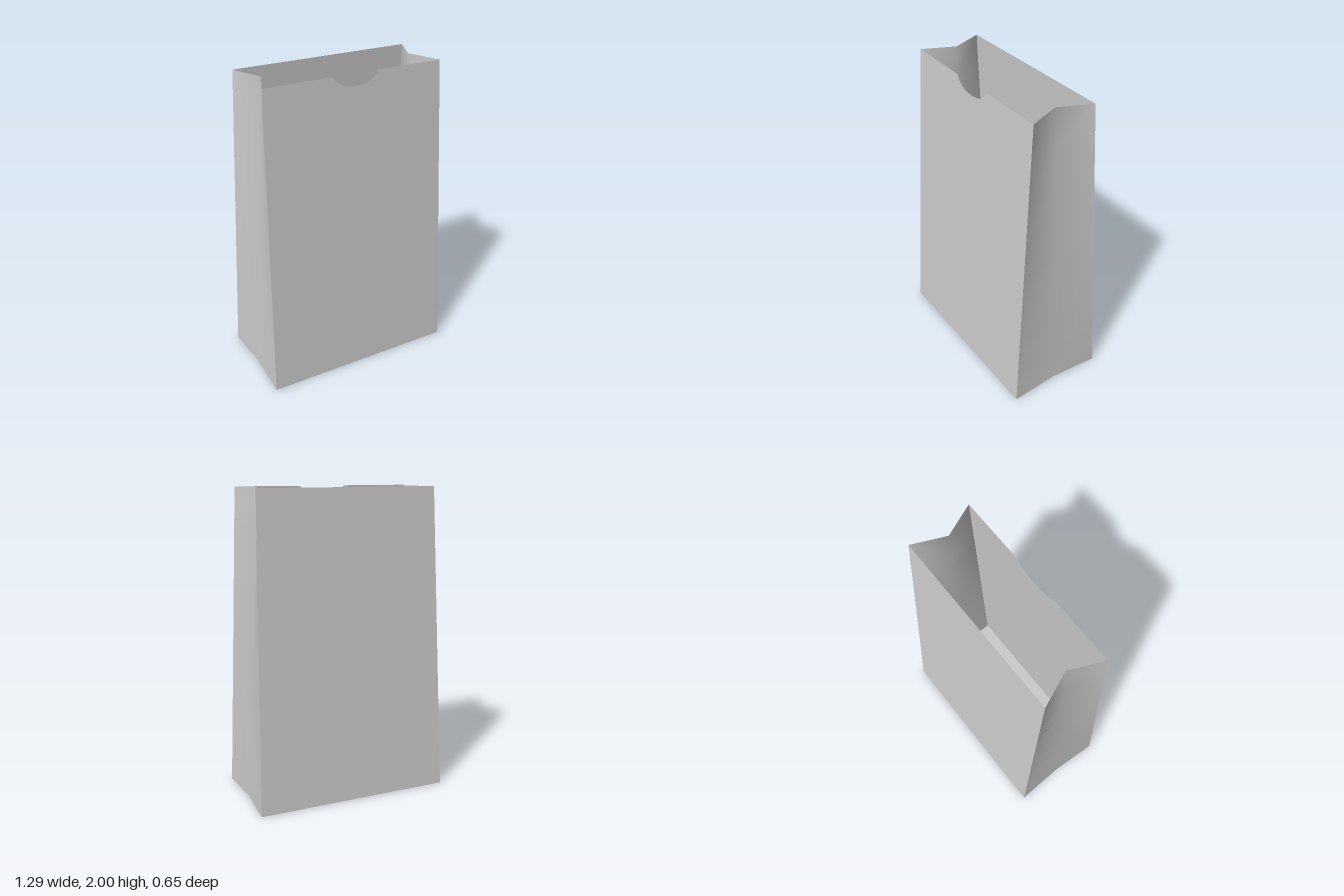
import * as THREE from 'three';

const H = 2;
const BOTTOM = { x: 0.645, z: 0.325, fold: 0.63 };
const TOP = { x: 0.598, z: 0.21, fold: 0.507 };
const FOLD_LIFT = 0.01; // the fold sits just above the ground

const paper = new THREE.MeshStandardMaterial({ color: 0xcccccc, side: THREE.DoubleSide });

function addMesh(group, name, geometry) {
  const mesh = new THREE.Mesh(geometry, paper);
  mesh.name = name;
  group.add(mesh);
  return mesh;
}

// Large sloping panel, optionally with a thumb notch in its top edge
function panelGeometry(notch) {
  const s = new THREE.Shape();
  s.moveTo(-BOTTOM.x, 0);
  s.lineTo(BOTTOM.x, 0);
  s.lineTo(TOP.x, H);
  if (notch) {
    s.lineTo(0.155, H);
    s.bezierCurveTo(0.125, 1.945, 0.07, 1.926, 0, 1.926);
    s.bezierCurveTo(-0.07, 1.926, -0.125, 1.945, -0.155, H);
  }
  s.lineTo(-TOP.x, H);
  s.closePath();
  const g = new THREE.ShapeGeometry(s, 10);
  const p = g.attributes.position;
  for (let i = 0; i < p.count; i++) {
    p.setZ(i, THREE.MathUtils.lerp(BOTTOM.z, TOP.z, p.getY(i) / H));
  }
  g.computeVertexNormals();
  return g;
}

// Side with an inward centre fold that deepens towards the top
function gussetGeometry(side) {
  const rows = 8, pos = [], index = [];
  for (let r = 0; r <= rows; r++) {
    const t = r / rows;
    const mix = (key) => THREE.MathUtils.lerp(BOTTOM[key], TOP[key], t);
    pos.push(side * mix('x'), t * H, mix('z'));
    pos.push(side * mix('fold'), Math.max(t * H, FOLD_LIFT), 0);
    pos.push(side * mix('x'), t * H, -mix('z'));
  }
  for (let r = 0; r < rows; r++) {
    for (let c = 0; c < 2; c++) {
      const a = r * 3 + c, b = a + 1, d = a + 3, e = a + 4;
      if (side > 0) index.push(a, b, e, a, e, d);
      else index.push(a, e, b, a, d, e);
    }
  }
  const g = new THREE.BufferGeometry();
  g.setAttribute('position', new THREE.Float32BufferAttribute(pos, 3));
  g.setIndex(index);
  g.computeVertexNormals();
  return g;
}

// Base sheet, pinched slightly at the two gusset folds
function baseGeometry() {
  const { x, z, fold } = BOTTOM;
  const g = new THREE.BufferGeometry();
  g.setAttribute('position', new THREE.Float32BufferAttribute([
    -x, 0, z, -fold, FOLD_LIFT, 0, -x, 0, -z,
    x, 0, -z, fold, FOLD_LIFT, 0, x, 0, z,
  ], 3));
  g.setIndex([0, 1, 4, 0, 4, 5, 1, 2, 3, 1, 3, 4]);
  g.computeVertexNormals();
  return g;
}

export function createModel() {
  const bag = new THREE.Group();
  bag.name = 'paperBag';
  addMesh(bag, 'frontPanel', panelGeometry(true));
  addMesh(bag, 'backPanel', panelGeometry(false)).rotation.y = Math.PI;
  addMesh(bag, 'leftGusset', gussetGeometry(1));
  addMesh(bag, 'rightGusset', gussetGeometry(-1));
  addMesh(bag, 'base', baseGeometry());
  return bag;
}
